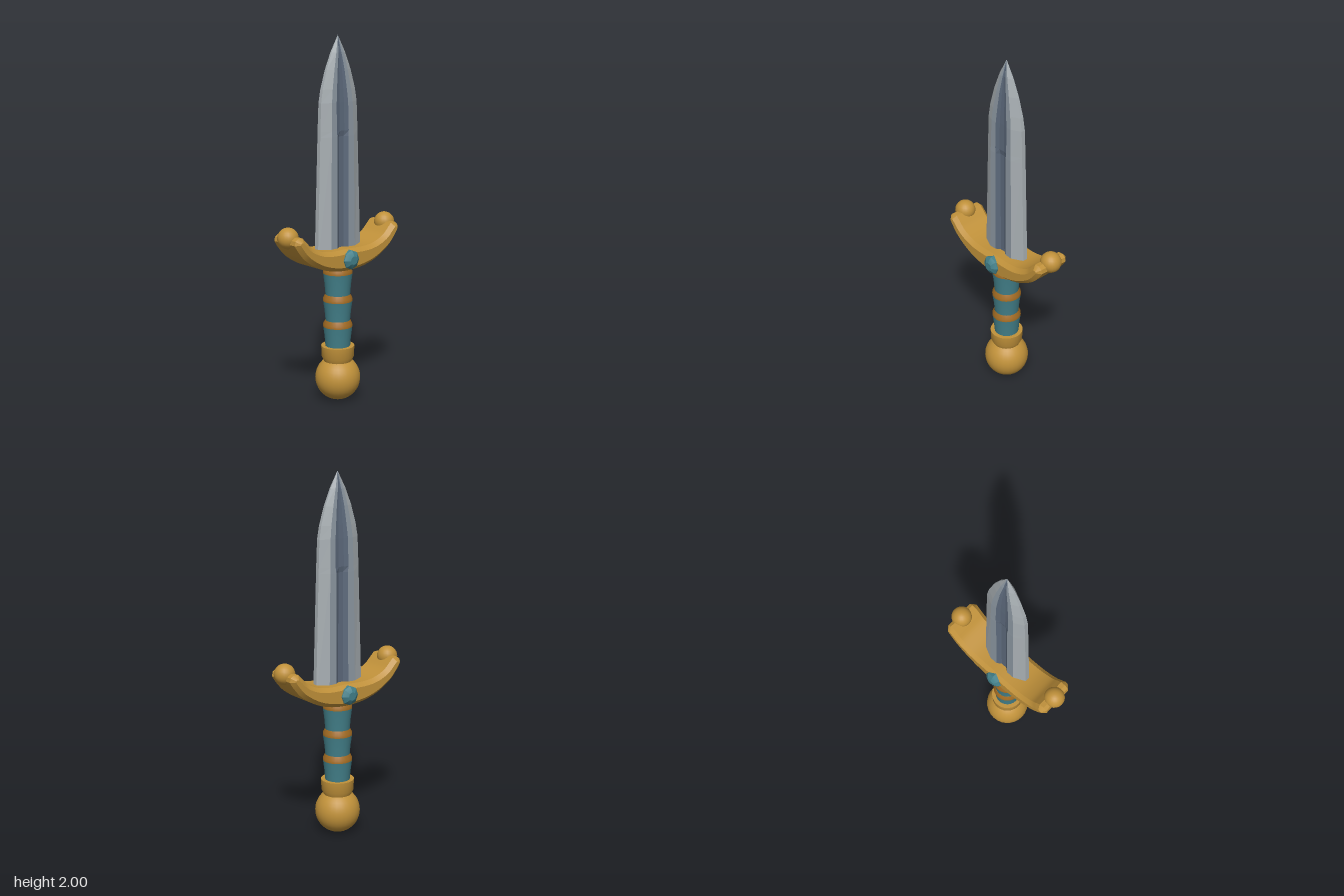
import * as THREE from 'three';
import { toCreasedNormals } from 'three/addons/utils/BufferGeometryUtils.js';

const mat = (name, color, opts = {}) => {
  const m = new THREE.MeshStandardMaterial({ color, ...opts });
  m.name = name;
  return m;
};

export function createModel() {
  const gold = mat('gold', 0xc0913a);
  const bronze = mat('bronze', 0xa06a22);
  const teal = mat('teal', 0x43808a);
  const steel = mat('steel', 0xa8afb3);
  const midSteel = mat('mid steel', 0x8d98a2);
  const darkSteel = mat('dark steel', 0x5d6a7c);

  const model = new THREE.Group();
  model.name = 'dagger';
  const add = (name, geometry, material, parent = model) => {
    const mesh = new THREE.Mesh(geometry, material);
    mesh.name = name;
    parent.add(mesh);
    return mesh;
  };
  const lathe = (points, sides = 24) =>
    new THREE.LatheGeometry(points.map(([r, y]) => new THREE.Vector2(r, y)), sides);

  // Blade stations: y, edge width, bevel width, fuller width, thickness, fuller depth, edge thickness
  const stations = [
    [0.80, 0.152, 0.085, 0.04, 0.045, 0.028, 0.014],
    [1.47, 0.131, 0.077, 0.038, 0.042, 0.028, 0.012],
    [1.50, 0.130, 0.076, 0.042, 0.041, 0.034, 0.012],
    [1.65, 0.124, 0.072, 0.040, 0.038, 0.032, 0.011],
    [1.72, 0.112, 0.064, 0.034, 0.034, 0.029, 0.010],
    [1.82, 0.083, 0.046, 0.024, 0.027, 0.023, 0.008],
    [1.91, 0.047, 0.025, 0.010, 0.018, 0.016, 0.005],
    [2.00, 0, 0, 0, 0, 0, 0],
  ];
  const loops = stations.map(([y, w, b, f, t, d, e]) => {
    const half = [[-w, e], [-b, t], [-f, t], [-f * 0.4, d], [f * 0.4, d], [f, t], [b, t], [w, e]];
    const back = half.map(([x, z]) => [-x, -z]);
    return [...half, ...back].map(([x, z]) => [x, y, z]);
  });
  const strip = (columns) => {
    const pos = [];
    for (let s = 0; s < loops.length - 1; s++) {
      for (const c of columns) {
        const n = (c + 1) % 16;
        const [a, b, d, e] = [loops[s][c], loops[s][n], loops[s + 1][n], loops[s + 1][c]];
        pos.push(...a, ...b, ...d);
        if (s < loops.length - 2) pos.push(...a, ...d, ...e);
      }
    }
    const g = new THREE.BufferGeometry();
    g.setAttribute('position', new THREE.Float32BufferAttribute(pos, 3));
    g.computeVertexNormals();
    return g;
  };
  const blade = new THREE.Group();
  blade.name = 'blade';
  model.add(blade);
  add('bladeEdges', strip([0, 6, 7, 8, 14, 15]), steel, blade);
  add('bladeFlats', strip([1, 5, 9, 13]), midSteel, blade);
  add('bladeFuller', strip([2, 3, 4, 10, 11, 12]), darkSteel, blade);

  // Curved crossguard with chamfered faces
  const mirrored = (pts) => [
    ...pts.slice(1).reverse().map(([x, y]) => new THREE.Vector2(-x, y)),
    ...pts.map(([x, y]) => new THREE.Vector2(x, y)),
  ];
  const under = new THREE.SplineCurve(mirrored(
    [[0, 0.75], [0.1, 0.758], [0.2, 0.788], [0.29, 0.842], [0.34, 0.895], [0.367, 0.935]]));
  const upper = new THREE.SplineCurve(mirrored(
    [[0, 0.87], [0.1, 0.868], [0.18, 0.878], [0.25, 0.908], [0.29, 0.945], [0.315, 0.97]]));
  const outline = [
    ...under.getPoints(40),
    new THREE.Vector2(0.362, 0.958), new THREE.Vector2(0.342, 0.972),
    ...upper.getPoints(40).reverse(),
    new THREE.Vector2(-0.342, 0.972), new THREE.Vector2(-0.362, 0.958),
  ];
  const guard = new THREE.ExtrudeGeometry(new THREE.Shape(outline), {
    depth: 0.172, bevelEnabled: true, bevelThickness: 0.023,
    bevelSize: 0.022, bevelOffset: -0.022, bevelSegments: 1,
  });
  guard.translate(0, 0, -0.086);
  add('crossguard', toCreasedNormals(guard, 0.5), gold);

  // Ball finials on the guard tips
  for (const side of [-1, 1]) {
    add(side > 0 ? 'leftFinial' : 'rightFinial', new THREE.SphereGeometry(0.057, 20, 14), gold)
      .position.set(side * 0.343, 0.96, 0);
  }

  // Faceted gems, front and back
  const gemGeo = toCreasedNormals(
    lathe([[0.053, 0.09], [0.053, 0.115], [0.042, 0.126], [0.024, 0.136], [0, 0.136]], 8), 0.3);
  gemGeo.rotateX(Math.PI / 2);
  for (const turn of [0, Math.PI]) {
    const gem = add(turn ? 'backGem' : 'frontGem', gemGeo, teal);
    gem.position.y = 0.812;
    gem.rotation.y = turn;
  }

  // Grip sections, each flaring up to a band
  [[0.30, 0.42], [0.455, 0.565], [0.60, 0.72]].forEach(([y0, y1], i) => {
    const y2 = y1 + 0.037;
    add('gripWrap' + (i + 1), lathe([[0.068, y0], [0.073, (y0 + y1) / 2], [0.081, y1]]), teal);
    add('gripBand' + (i + 1), lathe([[0.081, y1], [0.08, y1 + 0.015], [0.069, y2]]), bronze);
  });
  add('gripNeck', lathe([[0.069, 0.755], [0.069, 0.79]]), bronze);

  // Collar and pommel
  add('collar', toCreasedNormals(
    lathe([[0.07, 0.20], [0.078, 0.225], [0.09, 0.25], [0.092, 0.31], [0, 0.31]]), 0.6), gold);
  add('pommel', new THREE.SphereGeometry(0.125, 28, 20), gold).position.y = 0.126;

  return model;
}
